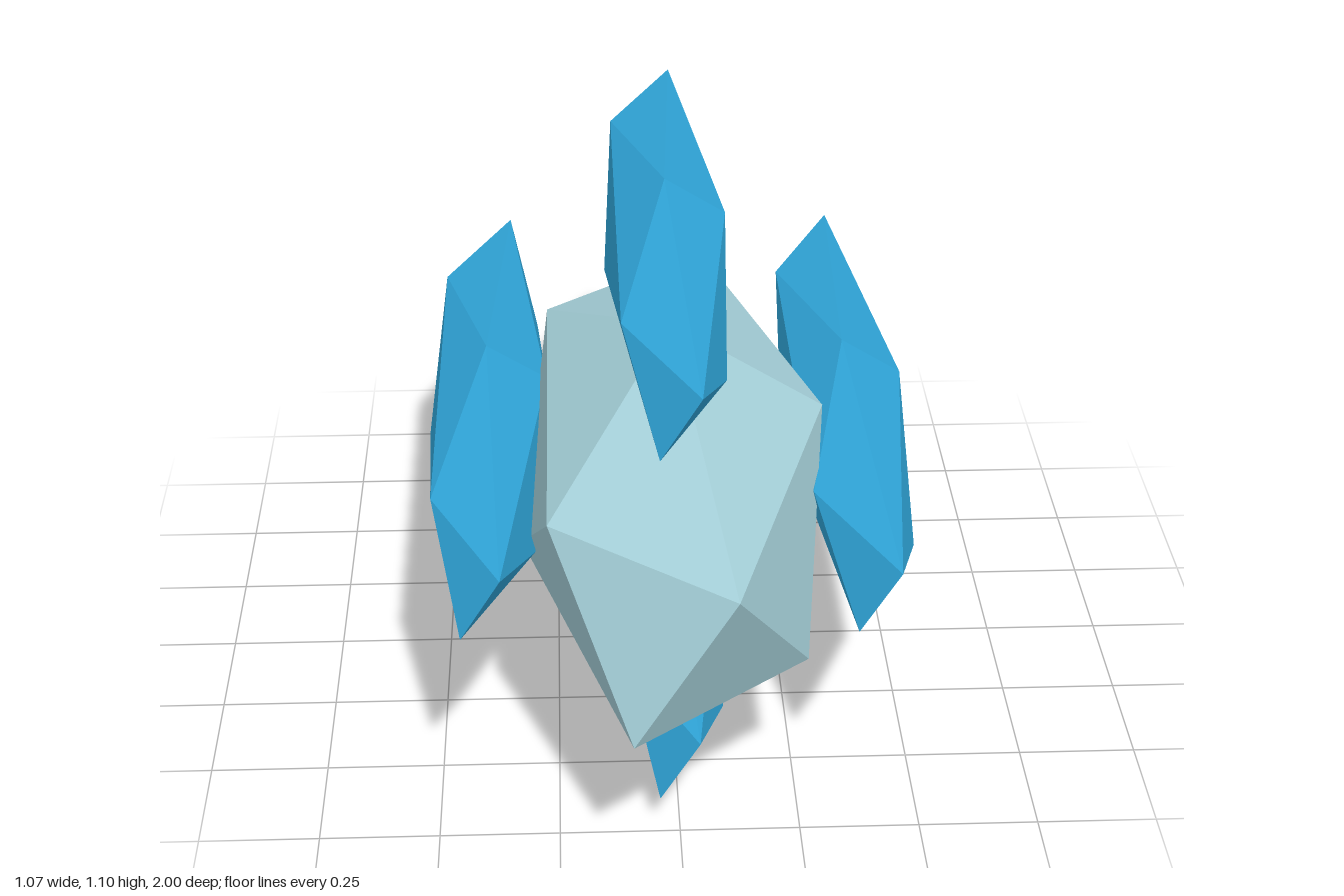
import * as THREE from 'three';

const GOLDEN = (1 + Math.sqrt(5)) / 2;

// Icosahedron with a vertex straight up, stretched along z to the given half length
function stretchedIcosahedron(radius, halfLength) {
  const geometry = new THREE.IcosahedronGeometry(radius, 0);
  geometry.rotateZ(-Math.atan(1 / GOLDEN));
  geometry.computeBoundingBox();
  geometry.scale(1, 1, halfLength / geometry.boundingBox.max.z);
  geometry.computeVertexNormals();
  return geometry;
}

export function createModel() {
  const group = new THREE.Group();
  const hullMaterial = new THREE.MeshStandardMaterial({ name: 'paleTeal', color: 0xa5d0d9, flatShading: true });
  const podMaterial = new THREE.MeshStandardMaterial({ name: 'brightBlue', color: 0x2fa4d7, flatShading: true });

  // Central hull
  const hull = new THREE.Mesh(stretchedIcosahedron(0.364, 0.79), hullMaterial);
  hull.name = 'hull';
  hull.position.set(0, 0.55, 0.21);
  group.add(hull);

  // Four long pods around the hull
  const podGeometry = stretchedIcosahedron(0.149, 0.875);
  const pods = { topPod: [0, 1], bottomPod: [0, -1], leftPod: [1, 0], rightPod: [-1, 0] };
  for (const [name, [x, y]] of Object.entries(pods)) {
    const pod = new THREE.Mesh(podGeometry, podMaterial);
    pod.name = name;
    pod.position.set(x * 0.4, 0.55 + y * 0.4, -0.125);
    group.add(pod);
  }

  return group;
}
